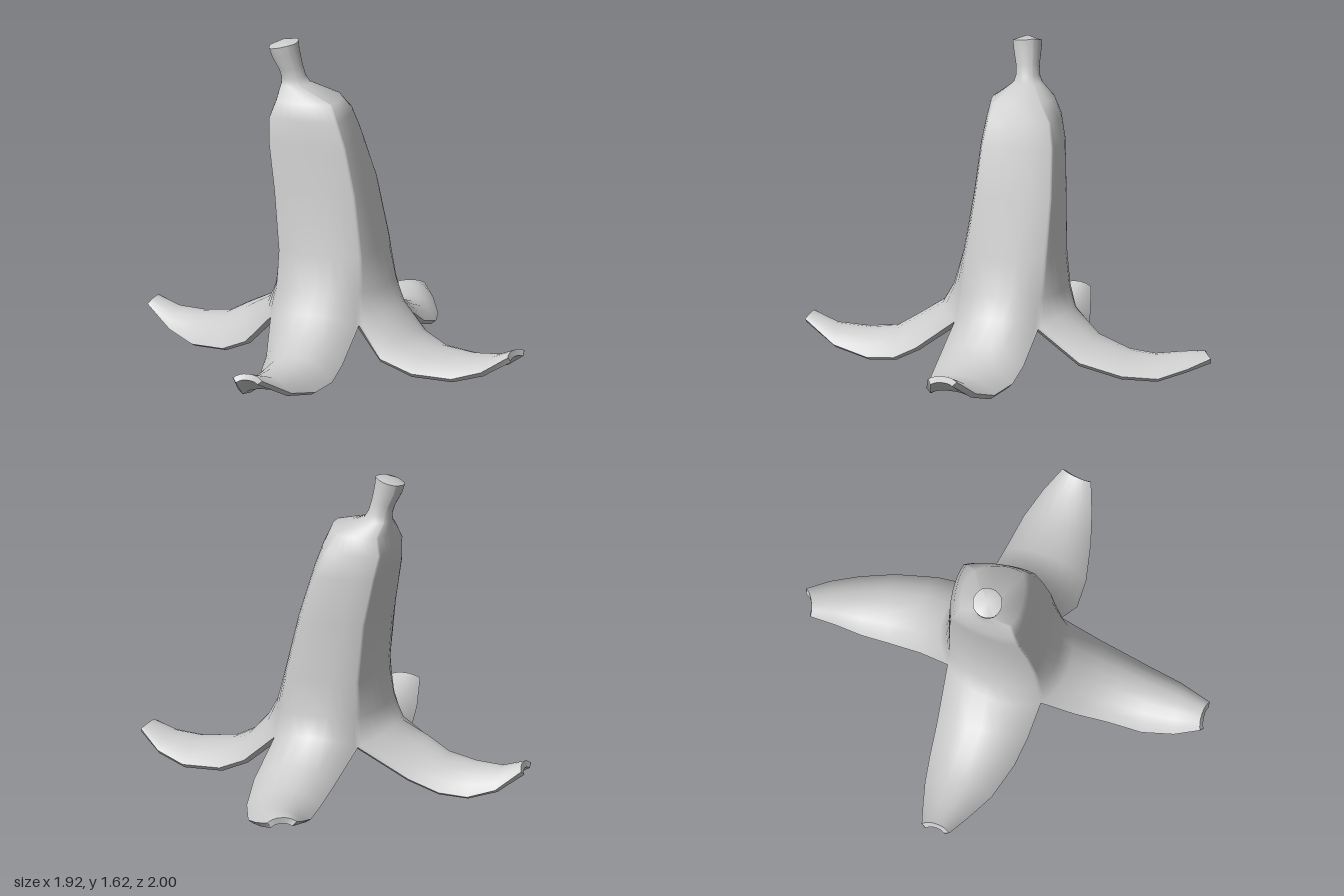
import * as THREE from 'three';
import { mergeVertices } from 'three/addons/utils/BufferGeometryUtils.js';

const COLS = 10;
const THICK = 0.032;

// Stem rings: centre x, height, radius, tilt
const STEM = [
  [-0.27, 1.608, 0.074, 0.3], [-0.26, 1.56, 0.07, 0.27], [-0.235, 1.49, 0.06, 0.2],
  [-0.22, 1.44, 0.061, 0.1], [-0.21, 1.405, 0.074, 0.05],
];
const STEM_Z = -0.115;
const RIDGE_DIRS = [[-0.94, 0.35], [0.35, 0.94], [0.94, -0.35], [-0.35, -0.94]];

// Body rings: height, bulge of each face, then the four ridges as [x, z]
const BODY = [
  [1.345, 0.03, [-0.3, 0.0], [-0.02, 0.07], [0.0, -0.17], [-0.2, -0.24]],
  [1.26, 0.025, [-0.335, 0.02], [0.01, 0.1], [0.065, -0.21], [-0.21, -0.275]],
  [1.14, 0.025, [-0.335, 0.04], [0.05, 0.13], [0.11, -0.22], [-0.18, -0.295]],
  [0.9, 0.025, [-0.305, 0.08], [0.1, 0.165], [0.19, -0.21], [-0.13, -0.3]],
  [0.6, 0.035, [-0.28, 0.12], [0.135, 0.215], [0.255, -0.18], [-0.1, -0.3]],
  [0.42, 0.065, [-0.29, 0.14], [0.135, 0.24], [0.28, -0.16], [-0.1, -0.3]],
  [0.26, 0.1, [-0.32, 0.15], [0.13, 0.27], [0.31, -0.14], [-0.1, -0.31]],
];

// Flaps beyond the splits, front, right, back, left: crest factor, tip height,
// then left and right edges as [x, z]
const FLAPS = [
  [1, 0.175, [[-0.33, 0.32], [-0.355, 0.48], [-0.41, 0.65], [-0.44, 0.81], [-0.46, 0.94]],
    [[0.06, 0.46], [0.015, 0.57], [-0.06, 0.7], [-0.17, 0.86], [-0.31, 0.995]]],
  [0.72, 0.155, [[0.24, 0.35], [0.4, 0.4], [0.6, 0.43], [0.75, 0.44], [0.885, 0.44]],
    [[0.46, -0.06], [0.58, 0.0], [0.76, 0.1], [0.88, 0.2], [0.96, 0.3]]],
  [0.78, 0.115, [[0.42, -0.34], [0.465, -0.55], [0.465, -0.73], [0.43, -0.88], [0.38, -1.0]],
    [[0.02, -0.44], [0.1, -0.6], [0.15, -0.73], [0.2, -0.87], [0.23, -0.985]]],
  [1.1, 0.175, [[-0.35, -0.37], [-0.5, -0.41], [-0.64, -0.44], [-0.78, -0.455], [-0.91, -0.465]],
    [[-0.45, 0.08], [-0.57, 0.01], [-0.73, -0.11], [-0.85, -0.23], [-0.965, -0.33]]],
];
// Per flap row: edge height, rise of the crest, its outward push, extra thickness under the crest
const FLAP_ROWS = [
  [0.11, 0.125, 0.05, 0.025], [0.05, 0.12, 0.02, 0.05], [0.035, 0.115, 0, 0.05],
  [0.075, 0.08, 0, 0.035], [0, 0.025, -0.015, 0],
];

const v = (x, y, z) => new THREE.Vector3(x, y, z);

// One cross-section between two edges, arched outwards and upwards, denser near the edges
function arc(L, R, push, rise, power = 2.5) {
  const out = v(L.z - R.z, 0, R.x - L.x).normalize().multiplyScalar(push);
  out.y = rise;
  return Array.from({ length: COLS + 1 }, (_, j) => {
    const u = Math.sin((j / COLS - 0.5) * Math.PI);
    return L.clone().lerp(R, (u + 1) / 2).addScaledVector(out, 1 - Math.abs(u) ** power);
  });
}

function stemArc([cx, y, r, tilt], side) {
  const p = k => {
    const [dx, dz] = RIDGE_DIRS[k % 4];
    return v(cx + dx * r, y + dx * r * tilt, STEM_Z + dz * r);
  };
  return arc(p(side), p(side + 1), r * 0.29, 0, 2);
}

// All cross-sections of one quarter, from the stem down to the flap tip;
// sag 1 lowers the crest of the flap for its flatter underside
function quarterRows(side, sag) {
  const rows = STEM.map(s => stemArc(s, side));
  for (const [y, bulge, ...ridges] of BODY) {
    const [a, b] = [ridges[side], ridges[(side + 1) % 4]];
    rows.push(arc(v(a[0], y, a[1]), v(b[0], y, b[1]), bulge, y < 0.3 ? 0.06 : 0));
  }
  const [crest, tip, left, right] = FLAPS[side];
  FLAP_ROWS.forEach(([edge, rise, push, extra], i) => {
    const y = edge || tip;
    const [a, b] = [left[i], right[i]];
    rows.push(arc(v(a[0], y, a[1]), v(b[0], y, b[1]), push, (rise - extra * sag) * crest));
  });
  return rows;
}

// Smooth surface through grids of points, welded where they meet
function skin(grids) {
  const pos = [], index = [];
  for (const rows of grids) {
    const base = pos.length / 3;
    const w = rows[0].length;
    rows.flat().forEach(p => pos.push(p.x, p.y, p.z));
    for (let i = 0; i < rows.length - 1; i++) {
      for (let j = 0; j < w - 1; j++) {
        const a = base + i * w + j, b = a + w;
        index.push(a, b, b + 1, a, b + 1, a + 1);
      }
    }
  }
  let g = new THREE.BufferGeometry();
  g.setAttribute('position', new THREE.Float32BufferAttribute(pos, 3));
  g.setIndex(index);
  g = mergeVertices(g);
  g.computeVertexNormals();
  return g;
}

// Inside of the peel: the sagged skin moved inwards and turned over
function liningOf(sagged, outer) {
  const g = sagged.clone();
  const p = g.attributes.position, n = outer.attributes.normal;
  for (let i = 0; i < p.count; i++) {
    p.setXYZ(i, p.getX(i) - n.getX(i) * THICK, p.getY(i) - n.getY(i) * THICK, p.getZ(i) - n.getZ(i) * THICK);
  }
  g.setIndex(Array.from(outer.index.array).reverse());
  g.computeVertexNormals();
  return g;
}

// Strip closing the thickness along every open edge of the flaps
function rimOf(outer, inner) {
  const idx = outer.index.array, edges = new Set(), index = [];
  for (let i = 0; i < idx.length; i += 3) {
    for (let k = 0; k < 3; k++) edges.add(idx[i + k] + '_' + idx[i + (k + 1) % 3]);
  }
  const n = outer.attributes.position.count;
  for (const e of edges) {
    const [a, b] = e.split('_').map(Number);
    if (edges.has(b + '_' + a) || outer.attributes.position.getY(a) > 1) continue;
    index.push(b, a, a + n, b, a + n, b + n);
  }
  const g = new THREE.BufferGeometry();
  const pos = [...outer.attributes.position.array, ...inner.attributes.position.array];
  g.setAttribute('position', new THREE.Float32BufferAttribute(pos, 3));
  g.setIndex(index);
  g.computeVertexNormals();
  return g;
}

export function createModel() {
  const group = new THREE.Group();
  group.name = 'bananaPeel';
  const material = new THREE.MeshStandardMaterial({ color: 0xcccccc, side: THREE.DoubleSide });
  const add = (name, geometry) => {
    const mesh = new THREE.Mesh(geometry, material);
    mesh.name = name;
    group.add(mesh);
  };

  const sides = [0, 1, 2, 3];
  const outer = skin(sides.map(s => quarterRows(s, 0)));
  const inner = liningOf(skin(sides.map(s => quarterRows(s, 1))), outer);
  add('peelOuterSkin', outer);
  add('peelLining', inner);
  add('peelRim', rimOf(outer, inner));

  // Slightly domed cut end of the stem
  const centre = v(STEM[0][0], STEM[0][1] + 0.025, STEM_Z);
  add('stemEnd', skin(sides.map(s => [Array(COLS + 1).fill(centre), stemArc(STEM[0], s)])));
  return group;
}
